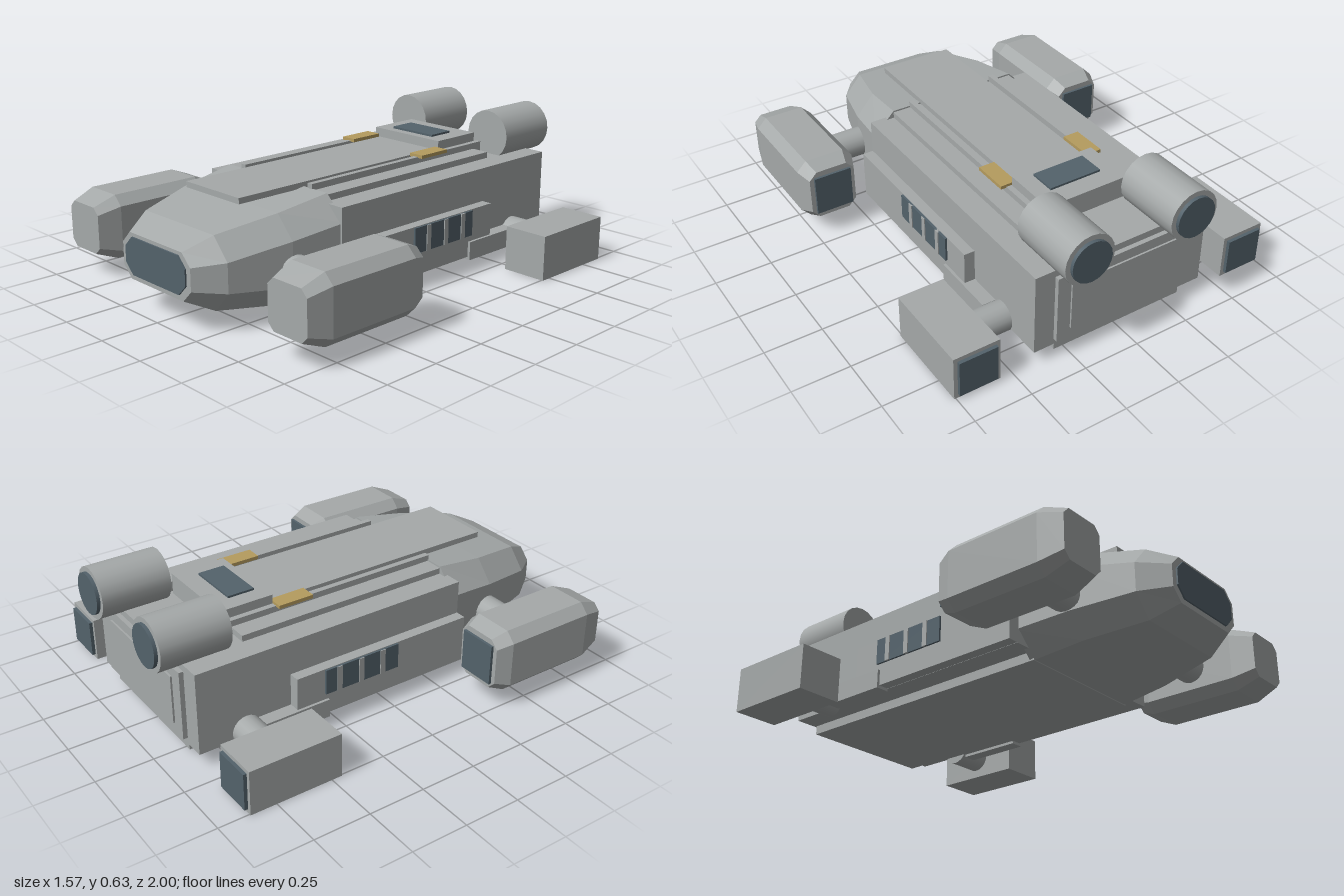
import * as THREE from 'three';

const mat = (name, color) => {
  const m = new THREE.MeshStandardMaterial({ color });
  m.name = name;
  return m;
};

// Outline of a rectangle with cut corners, counterclockwise seen from the front
function octagon(hw, y0, y1, cx, cy) {
  return [[hw, y0 + cy], [hw, y1 - cy], [hw - cx, y1], [cx - hw, y1],
    [-hw, y1 - cy], [-hw, y0 + cy], [cx - hw, y0], [hw - cx, y0]];
}

// Flat-faced loft through octagon stations [z, hw, y0, y1, cx, cy], ordered back to front
function loft(stations) {
  const rings = stations.map(([z, ...o]) => octagon(...o).map(([x, y]) => [x, y, z]));
  const pos = [];
  const tri = (...p) => p.forEach(v => pos.push(...v));
  for (let i = 0; i < rings.length - 1; i++) {
    for (let j = 0; j < 8; j++) {
      const k = (j + 1) % 8, a = rings[i], b = rings[i + 1];
      tri(a[j], a[k], b[k]);
      tri(a[j], b[k], b[j]);
    }
  }
  const back = rings[0], front = rings[rings.length - 1];
  for (let j = 1; j < 7; j++) {
    tri(front[0], front[j], front[j + 1]);
    tri(back[0], back[j + 1], back[j]);
  }
  const g = new THREE.BufferGeometry();
  g.setAttribute('position', new THREE.Float32BufferAttribute(pos, 3));
  g.computeVertexNormals();
  return g;
}

export function createModel() {
  const hull = mat('hull grey', 0xa5a9a9);
  const glass = mat('dark glass', 0x53626b);
  const gold = mat('gold', 0xb59c5e);
  const model = new THREE.Group();
  model.name = 'shuttle';

  const add = (name, geometry, material, parent = model) => {
    const m = new THREE.Mesh(geometry, material);
    m.name = name;
    parent.add(m);
    return m;
  };
  // Box given by its limits on each axis
  const box = (name, [x0, x1], [y0, y1], [z0, z1], material = hull, parent = model) => {
    const m = add(name, new THREE.BoxGeometry(x1 - x0, y1 - y0, z1 - z0), material, parent);
    m.position.set((x0 + x1) / 2, (y0 + y1) / 2, (z0 + z1) / 2);
    return m;
  };
  // Cylinder lying along x or z, from a to b
  const rod = (name, axis, r, a, b, u, y, material, parent) => {
    const m = add(name, new THREE.CylinderGeometry(r, r, b - a, 20), material, parent);
    if (axis === 'x') {
      m.rotation.z = Math.PI / 2;
      m.position.set((a + b) / 2, y, u);
    } else {
      m.rotation.x = Math.PI / 2;
      m.position.set(u, y, (a + b) / 2);
    }
    return m;
  };

  // Hull
  box('mainHull', [-0.41, 0.41], [0.067, 0.43], [-0.88, 0.4]);
  box('belly', [-0.31, 0.31], [0.028, 0.067], [-0.87, 0.4]);
  box('roofSlab', [-0.305, 0.305], [0.43, 0.457], [-0.61, 0.4]);
  box('roofSpine', [-0.168, 0.168], [0.457, 0.482], [-0.4, 0.715]);
  box('rearDoorFrame', [-0.32, 0.32], [0.095, 0.4], [-0.9, -0.88]);
  box('rearDoor', [-0.26, 0.26], [0.14, 0.355], [-0.908, -0.9]);

  // Faceted nose and windscreen
  add('nose', loft([
    [0.38, 0.405, 0.028, 0.464, 0.1, 0.1],
    [0.62, 0.37, 0.052, 0.428, 0.085, 0.095],
    [0.88, 0.3, 0.08, 0.383, 0.08, 0.09],
    [0.993, 0.22, 0.135, 0.33, 0.05, 0.05],
  ]), hull);
  add('windscreen', loft([
    [0.992, 0.195, 0.157, 0.315, 0.045, 0.045],
    [1.0, 0.195, 0.157, 0.315, 0.045, 0.045],
  ]), glass);

  // Roof hatch
  box('roofHatch', [-0.195, 0.195], [0.43, 0.523], [-0.645, -0.4]);
  box('hatchWindow', [-0.12, 0.12], [0.523, 0.532], [-0.56, -0.44], glass);

  // Everything that comes in left and right pairs; all these shapes mirror by position
  for (const s of [1, -1]) {
    const side = new THREE.Group();
    side.name = s > 0 ? 'leftSide' : 'rightSide';
    model.add(side);
    const span = (a, b) => (s > 0 ? [a, b] : [-b, -a]);
    const sideBox = (name, x, y, z, m = hull) => box(name, span(...x), y, z, m, side);

    // Roof rails and gold markers
    sideBox('roofRail', [0.197, 0.222], [0.44, 0.484], [-0.66, 0.385]);
    sideBox('roofMarker', [0.175, 0.247], [0.48, 0.495], [-0.4, -0.238], gold);

    // Side panel, window strip and dividers
    sideBox('sidePanel', [0.41, 0.458], [0.068, 0.28], [-0.458, 0.4]);
    sideBox('sideStep', [0.41, 0.47], [0.055, 0.137], [-0.61, -0.31]);
    sideBox('sideWindows', [0.458, 0.467], [0.165, 0.277], [-0.325, 0.037], glass);
    for (const z of [-0.044, -0.152, -0.26]) {
      sideBox('windowDivider', [0.458, 0.471], [0.165, 0.277], [z - 0.012, z + 0.012]);
    }

    // Roof engine
    rod('roofEngine', 'z', 0.112, -0.985, -0.68, s * 0.245, 0.516, hull, side);
    rod('roofEngineNozzle', 'z', 0.09, -1.0, -0.985, s * 0.245, 0.516, glass, side);

    // Front pod on its strut
    rod('frontStrut', 'x', 0.065, ...span(0.36, 0.54), 0.604, 0.213, hull, side);
    const pod = add('frontPod', loft([
      [0.312, 0.105, 0.1, 0.33, 0.035, 0.035],
      [0.38, 0.13, 0.073, 0.357, 0.043, 0.043],
      [0.8, 0.13, 0.073, 0.357, 0.043, 0.043],
      [0.9, 0.105, 0.112, 0.318, 0.03, 0.03],
    ]), hull, side);
    pod.position.x = s * 0.655;
    sideBox('frontPodNozzle', [0.57, 0.74], [0.125, 0.305], [0.3, 0.312], glass);

    // Rear pod on its strut
    rod('rearStrut', 'x', 0.065, ...span(0.4, 0.56), -0.665, 0.1, hull, side);
    sideBox('rearPod', [0.553, 0.757], [0, 0.197], [-0.865, -0.455]);
    sideBox('rearPodNozzle', [0.57, 0.74], [0.018, 0.18], [-0.88, -0.865], glass);
  }
  return model;
}
